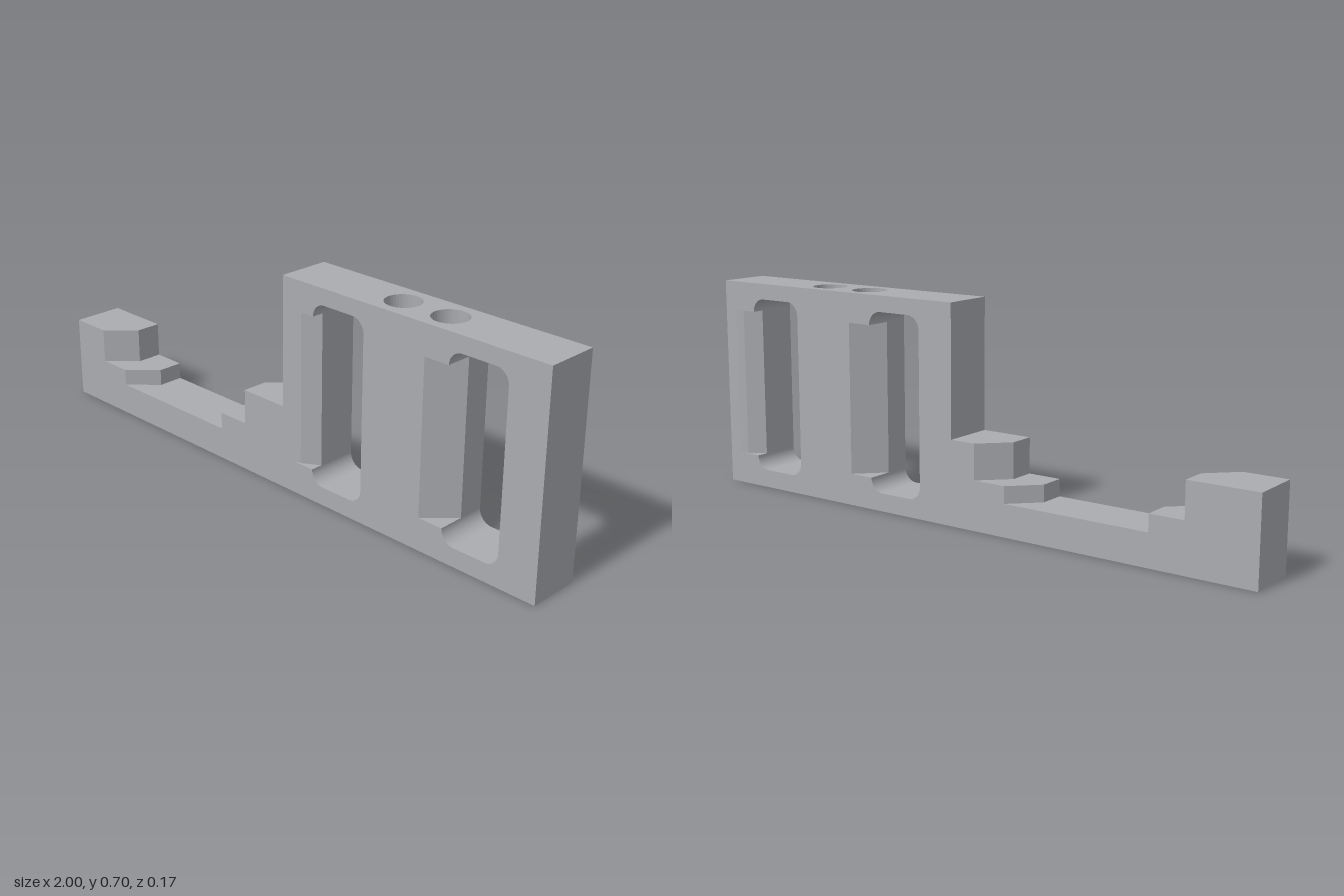
import * as THREE from 'three';

const D = 0.086;               // half thickness of the plate
const FLOOR = 0.105, STEP = 0.16, SHELF = 0.275, LINTEL = 0.6, TOP = 0.697;
const BLOCK = 0.035;           // left edge of the tall block
const SLOTS = [[0.16, 0.36], [0.67, 0.87]];
const SLOT_LOW = 0.06, SLOT_HIGH = 0.645, R = 0.045;

export function createModel() {
  const group = new THREE.Group();
  const grey = new THREE.MeshStandardMaterial({ color: 0xaaacb0 });

  const add = (name, geometry) => {
    const mesh = new THREE.Mesh(geometry, grey);
    mesh.name = name;
    group.add(mesh);
  };

  // Plan outline of [x, z] points, raised from y0 to y1
  const slab = (name, plan, y0, y1, holes = []) => {
    const shape = new THREE.Shape(plan.map(([x, z]) => new THREE.Vector2(x, -z)));
    for (const [x, r] of holes) {
      shape.holes.push(new THREE.Path().absarc(x, 0, r, 0, Math.PI * 2, true));
    }
    const g = new THREE.ExtrudeGeometry(shape, { depth: y1 - y0, bevelEnabled: false, curveSegments: 20 });
    g.rotateX(-Math.PI / 2).translate(0, y0, 0);
    add(name, g);
  };

  // Front outline pushed through the whole thickness
  const plate = (name, shape) => {
    const g = new THREE.ExtrudeGeometry(shape, { depth: 2 * D, bevelEnabled: false, curveSegments: 8 });
    add(name, g.translate(0, 0, -D));
  };

  // Bottom rail with the rounded lower ends of both slots
  const rail = new THREE.Shape();
  rail.moveTo(-1, FLOOR).lineTo(-1, 0).lineTo(1, 0).lineTo(1, FLOOR);
  for (const [a, b] of [...SLOTS].reverse()) {
    rail.lineTo(b, FLOOR);
    rail.absarc(b - R, SLOT_LOW + R, R, 0, -Math.PI / 2, true);
    rail.absarc(a + R, SLOT_LOW + R, R, -Math.PI / 2, -Math.PI, true);
    rail.lineTo(a, FLOOR);
  }
  rail.closePath();
  plate('bottomRail', rail);

  // Top rail pieces with the rounded upper ends of the slots
  [[BLOCK, SLOTS[0], SLOTS[0][1]], [SLOTS[1][0], SLOTS[1], 1]].forEach(([x0, [a, b], x1], i) => {
    const s = new THREE.Shape();
    s.moveTo(x1, LINTEL).lineTo(x1, TOP).lineTo(x0, TOP).lineTo(x0, LINTEL).lineTo(a, LINTEL);
    s.absarc(a + R, SLOT_HIGH - R, R, Math.PI, Math.PI / 2, true);
    s.absarc(b - R, SLOT_HIGH - R, R, Math.PI / 2, 0, true);
    s.closePath();
    plate(i ? 'topRailLeft' : 'topRailRight', s);
  });

  // Middle of the top rail with two blind round holes
  const bridge = [[0.36, D], [0.67, D], [0.67, -D], [0.36, -D]];
  slab('holeFloor', bridge, LINTEL, LINTEL + 0.01);
  slab('drilledBridge', bridge, LINTEL + 0.01, TOP, [[0.43, 0.056], [0.6, 0.056]]);

  // Pillars between the slots; the chamfers open the slots sideways
  const shallow = [[0.075, D], [0.105, 0.08], [0.16, 0.046], [0.16, -D]];
  const turned = shallow.map(([x, z]) => [1.03 - x, -z]);
  slab('rightPillar', [[BLOCK, -D], [BLOCK, D], ...shallow], FLOOR, LINTEL);
  slab('leftPillar', [[1, D], [1, -D], ...turned], FLOOR, LINTEL);
  slab('middlePillar', [
    [0.36, D], [0.36, 0], [0.445, -D], [0.67, -D], [0.67, 0], [0.585, D],
  ], FLOOR, LINTEL);

  // Stepped seats, each with one straight half and one slanted half
  const endStep = (x) => [[-1, -D], [-1, D], [x - 0.086, D], [x, 0], [x, -D]];
  const innerStep = (x) => [[BLOCK, D], [BLOCK, -D], [x + 0.086, -D], [x, 0], [x, D]];
  slab('endLowerStep', endStep(-0.66), FLOOR, STEP);
  slab('endUpperStep', endStep(-0.773), STEP, SHELF);
  slab('innerLowerStep', innerStep(-0.25), FLOOR, STEP);
  slab('innerUpperStep', innerStep(-0.138), STEP, SHELF);

  return group;
}
